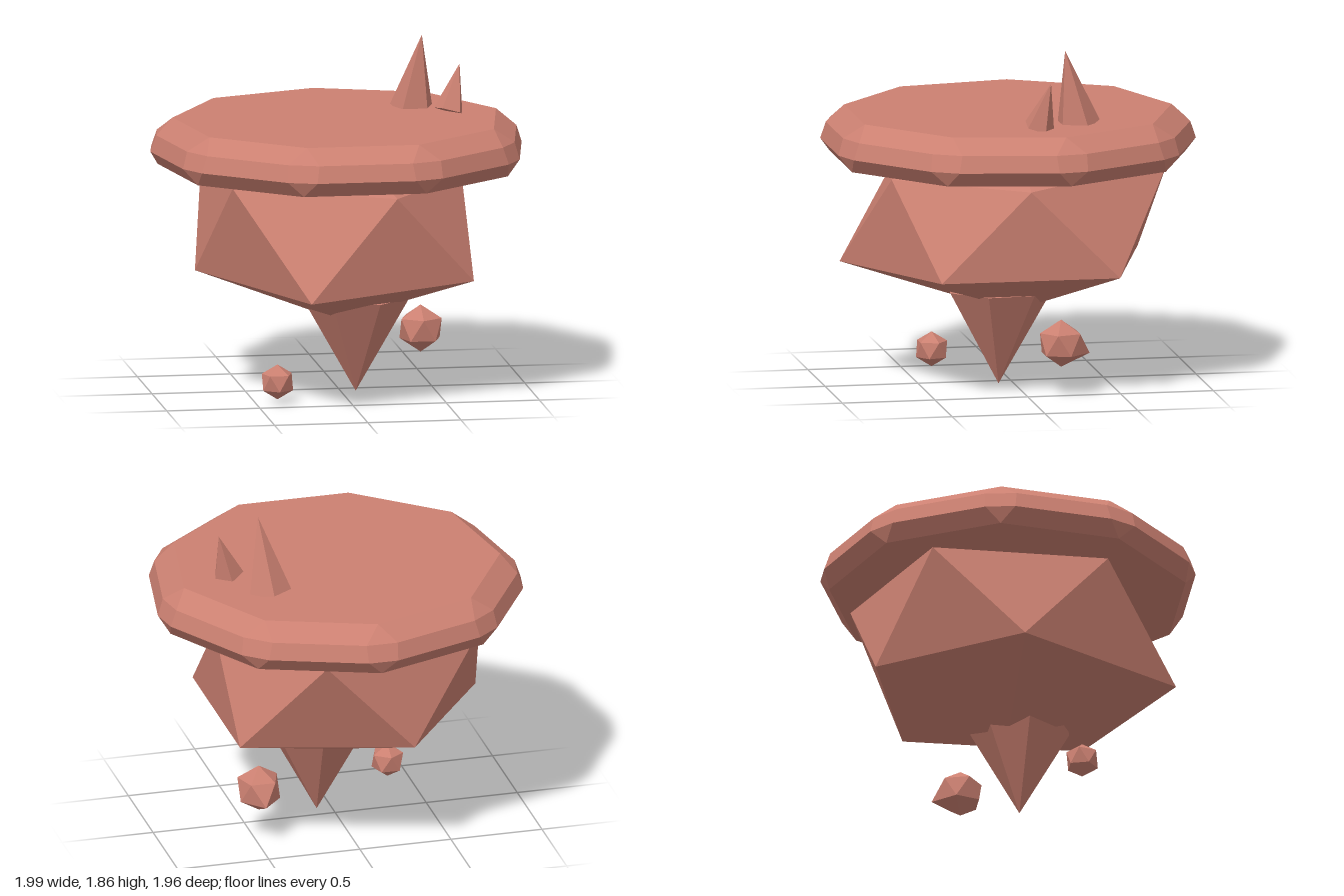
import * as THREE from 'three';
import { ConvexGeometry } from 'three/addons/geometries/ConvexGeometry.js';

const clay = new THREE.MeshStandardMaterial({ color: 0xcb8071, flatShading: true });
clay.name = 'clay red';

const V = (x, y, z) => new THREE.Vector3(x, y, z);
const rad = THREE.MathUtils.degToRad;

function part(name, geometry) {
  const mesh = new THREE.Mesh(geometry, clay);
  mesh.name = name;
  return mesh;
}

// Twenty-faced stone: a top point, two staggered rings of five, a bottom point
function stone(top, upper, lower, bottom) {
  const pos = [];
  const tri = (...pts) => pts.forEach((p) => pos.push(p.x, p.y, p.z));
  for (let i = 0; i < 5; i++) {
    const j = (i + 1) % 5;
    tri(top, upper[i], upper[j]);
    tri(upper[i], lower[i], upper[j]);
    tri(lower[i], lower[j], upper[j]);
    tri(bottom, lower[j], lower[i]);
  }
  const g = new THREE.BufferGeometry();
  g.setAttribute('position', new THREE.Float32BufferAttribute(pos, 3));
  g.computeVertexNormals();
  return g;
}

// Regular small stone, with one lower corner pulled outward by bulge
function pebble(name, r, phase, bulge, x, y, z) {
  const ring = (h, start, far) => Array.from({ length: 5 }, (_, i) => {
    const a = rad(start + i * 72);
    const d = r * 0.894 * (i === 2 ? far : 1);
    return V(Math.sin(a) * d, h * r, Math.cos(a) * d);
  });
  const mesh = part(name, stone(V(0, r, 0), ring(0.447, phase, 1), ring(-0.447, phase + 36, bulge), V(0, -r, 0)));
  mesh.position.set(x, y, z);
  return mesh;
}

// Five-sided spike leaning from its base centre to its tip
function spike(name, r, base, tip) {
  const axis = tip.clone().sub(base);
  const h = axis.length();
  const mesh = part(name, new THREE.ConeGeometry(r, h, 5).rotateY(Math.PI).translate(0, h / 2, 0));
  mesh.quaternion.setFromUnitVectors(V(0, 1, 0), axis.normalize());
  mesh.position.copy(base);
  return mesh;
}

// Nine-sided slab: rings of [corner radius, half width of the cut corner, height]
function slab() {
  const pts = [];
  const rings = [[0.881, 0, 1.46], [0.966, 0.085, 1.38], [0.997, 0.08, 1.29], [0.96, 0, 1.21]];
  for (const [r, w, y] of rings) {
    for (let i = 0; i < 9; i++) {
      const a = rad(180 + i * 40);
      for (const s of w ? [-w, w] : [0]) {
        pts.push(V(Math.sin(a) * r + Math.cos(a) * s, y, Math.cos(a) * r - Math.sin(a) * s + 0.013));
      }
    }
  }
  return new ConvexGeometry(pts);
}

export function createModel() {
  const model = new THREE.Group();
  model.name = 'floatingIsland';

  model.add(part('topSlab', slab()));

  // Large irregular body under the slab
  const upper = [V(0.21, 1.14, 0.68), V(0.66, 1.13, 0.01), V(0.26, 1.2, -0.8), V(-0.66, 1.18, -0.48), V(-0.64, 1.18, 0.46)];
  const lower = [V(0.65, 0.65, 0.49), V(0.65, 0.65, -0.47), V(-0.24, 0.66, -0.73), V(-0.77, 0.66, 0), V(-0.28, 0.62, 0.87)];
  model.add(part('rockBody', stone(V(0, 1.37, 0), upper, lower, V(0, 0.37, 0))));

  // Seven-sided point hanging below the body
  const point = part('hangingPoint', new THREE.CylinderGeometry(0.29, 0, 0.51, 7));
  point.rotation.y = rad(18);
  point.position.set(0.08, 0.255, 0.08);
  model.add(point);

  // Spikes standing on the slab
  model.add(spike('tallSpike', 0.12, V(0.44, 1.45, -0.28), V(0.48, 1.855, -0.205)));
  model.add(spike('shortSpike', 0.083, V(0.6, 1.472, -0.042), V(0.665, 1.715, -0.095)));

  // Loose floating stones
  model.add(pebble('largePebble', 0.127, 0, 1.35, 0.47, 0.278, -0.185));
  model.add(pebble('smallPebble', 0.094, 36, 1, -0.383, 0.112, 0.355));

  return model;
}
